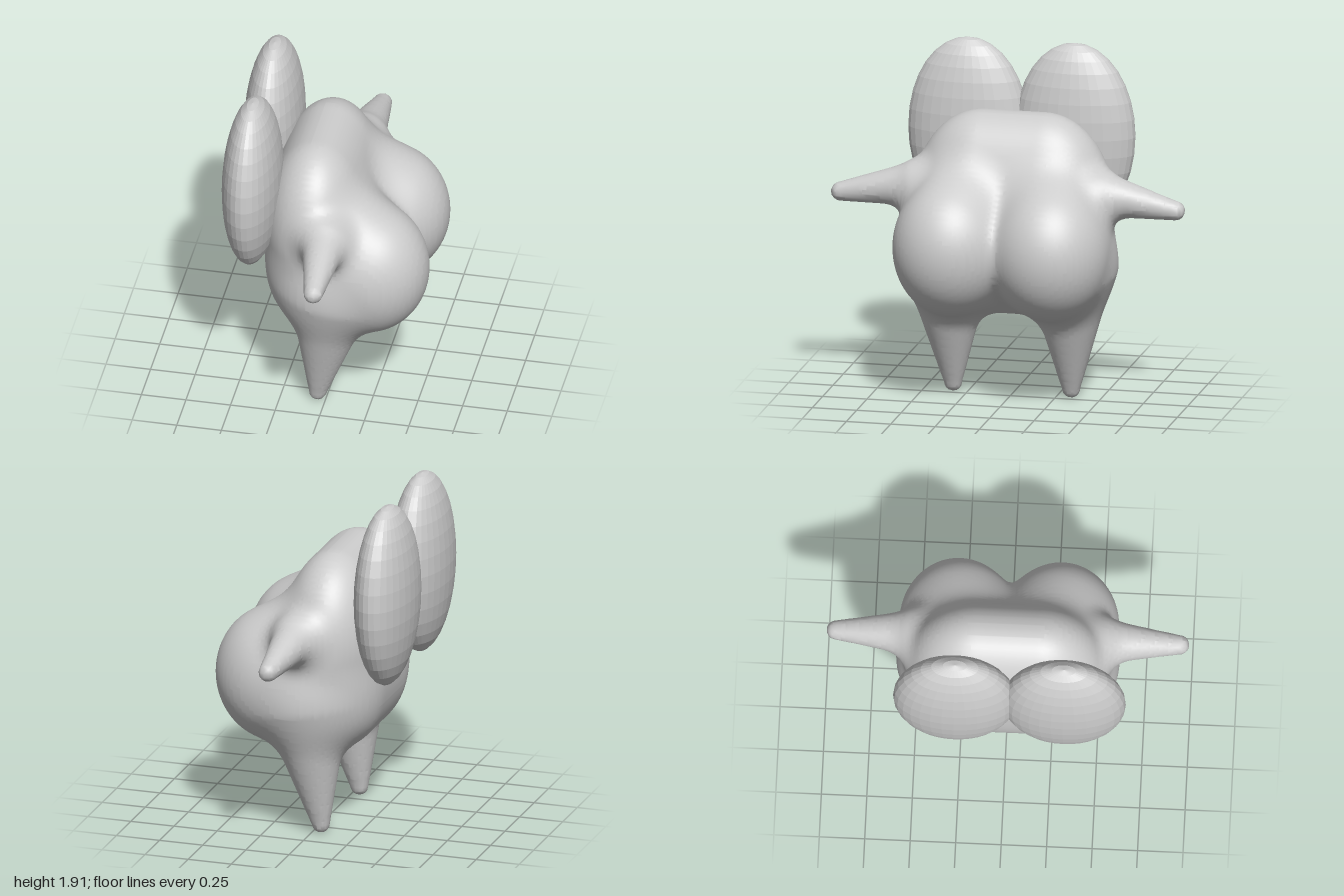
import * as THREE from 'three';

const grey = new THREE.MeshStandardMaterial({ color: 0xcccccc });
grey.name = 'grey';
const greyFaceted = grey.clone();
greyFaceted.name = 'grey faceted';
greyFaceted.flatShading = true;

// Distance to an ellipsoid (approximate)
function ellipsoid(x, y, z, c, r) {
  const a = (x - c[0]) / r[0], b = (y - c[1]) / r[1], d = (z - c[2]) / r[2];
  const k0 = Math.hypot(a, b, d), k1 = Math.hypot(a / r[0], b / r[1], d / r[2]);
  return k1 < 1e-6 ? -Math.min(...r) : k0 * (k0 - 1) / k1;
}

// Distance to a tapered limb with round ends
function limb(x, y, z, p, q, r0, r1) {
  const d = q.map((v, i) => v - p[i]);
  const dot = (x - p[0]) * d[0] + (y - p[1]) * d[1] + (z - p[2]) * d[2];
  const t = Math.min(1, Math.max(0, dot / (d[0] ** 2 + d[1] ** 2 + d[2] ** 2)));
  return Math.hypot(x - p[0] - d[0] * t, y - p[1] - d[1] * t, z - p[2] - d[2] * t) - (r0 + (r1 - r0) * t);
}

function blend(a, b, k) {
  const h = Math.max(k - Math.abs(a - b), 0) / k;
  return Math.min(a, b) - h * h * k / 4;
}

// The whole body, mirrored across z = 0; the trunk is flat across its middle
function bodyField(x, y, zSigned) {
  const z = Math.hypot(zSigned, 0.04);
  const trunkZ = Math.max(0, Math.abs(zSigned) - 0.17);
  let d = ellipsoid(x, y, trunkZ, [-0.08, 1.11, 0], [0.285, 0.49, 0.385]);                 // shoulders
  d = blend(d, ellipsoid(x, y, trunkZ, [-0.08, 0.79, 0], [0.275, 0.33, 0.36]), 0.1);       // hips
  d = blend(d, ellipsoid(x, y, z, [0.22, 0.89, 0.285], [0.345, 0.385, 0.32]), 0.2);        // belly lobes
  d = blend(d, limb(x, y, z, [0.04, 0.75, 0.345], [-0.045, 0.055, 0.335], 0.25, 0.05), 0.1); // legs
  return blend(d, limb(x, y, z, [0.035, 1.185, 0.55], [0.055, 1.125, 0.945], 0.12, 0.053), 0.12); // arms
}

// Skins a distance field with quads over a regular grid
function skin(field, min, max, step) {
  const n = min.map((v, i) => Math.ceil((max[i] - v) / step) + 1);
  const stride = [1, n[0], n[0] * n[1]];
  const values = new Float32Array(n[0] * n[1] * n[2]);
  for (let k = 0; k < n[2]; k++)
    for (let j = 0; j < n[1]; j++)
      for (let i = 0; i < n[0]; i++)
        values[i + j * stride[1] + k * stride[2]] = field(min[0] + i * step, min[1] + j * step, min[2] + k * step);

  const positions = [], index = [], known = new Map();
  // One vertex per crossed cell, pulled from the cell centre onto the surface
  function vertex(cell) {
    if (known.has(cell)) return known.get(cell);
    const k = Math.floor(cell / stride[2]), j = Math.floor((cell % stride[2]) / n[0]), i = cell % n[0];
    let p = [i, j, k].map((v, a) => min[a] + (v + 0.5) * step);
    const e = 0.002;
    for (let s = 0; s < 4; s++) {
      const f = field(...p);
      const g = [0, 1, 2].map((a) => {
        const u = p.slice(), w = p.slice();
        u[a] += e;
        w[a] -= e;
        return (field(...u) - field(...w)) / (2 * e);
      });
      const m = Math.max(0.2, g[0] ** 2 + g[1] ** 2 + g[2] ** 2);
      const move = Math.max(-step, Math.min(step, f / m));
      p = p.map((v, a) => v - g[a] * move);
    }
    positions.push(...p);
    known.set(cell, positions.length / 3 - 1);
    return positions.length / 3 - 1;
  }

  for (let k = 1; k < n[2] - 1; k++)
    for (let j = 1; j < n[1] - 1; j++)
      for (let i = 1; i < n[0] - 1; i++) {
        const id = i + j * stride[1] + k * stride[2];
        for (let a = 0; a < 3; a++) {
          const inside = values[id] < 0;
          if (inside === values[id + stride[a]] < 0) continue;
          const b = stride[(a + 1) % 3], c = stride[(a + 2) % 3];
          const q = [id, id - b, id - b - c, id - c].map(vertex);
          if (!inside) q.reverse();
          index.push(q[0], q[1], q[2], q[0], q[2], q[3]);
        }
      }
  const geometry = new THREE.BufferGeometry();
  geometry.setAttribute('position', new THREE.Float32BufferAttribute(positions, 3));
  geometry.setIndex(index);
  geometry.computeVertexNormals();
  return geometry;
}

export function createModel() {
  const model = new THREE.Group();
  model.name = 'creature';

  // Body with its legs and arms as one smooth skin
  const body = new THREE.Mesh(skin(bodyField, [-0.5, -0.08, -1.08], [0.68, 1.72, 1.08], 0.025), grey);
  body.name = 'body';
  model.add(body);

  // Two tall faceted wing discs, set slightly off centre
  for (const [name, z] of [['rearWing', -0.27], ['frontWing', 0.33]]) {
    const wing = new THREE.Mesh(new THREE.SphereGeometry(1, 32, 16), greyFaceted);
    wing.name = name;
    wing.scale.set(0.16, 0.515, 0.34);
    wing.position.set(-0.41, 1.405, z);
    model.add(wing);
  }
  return model;
}
